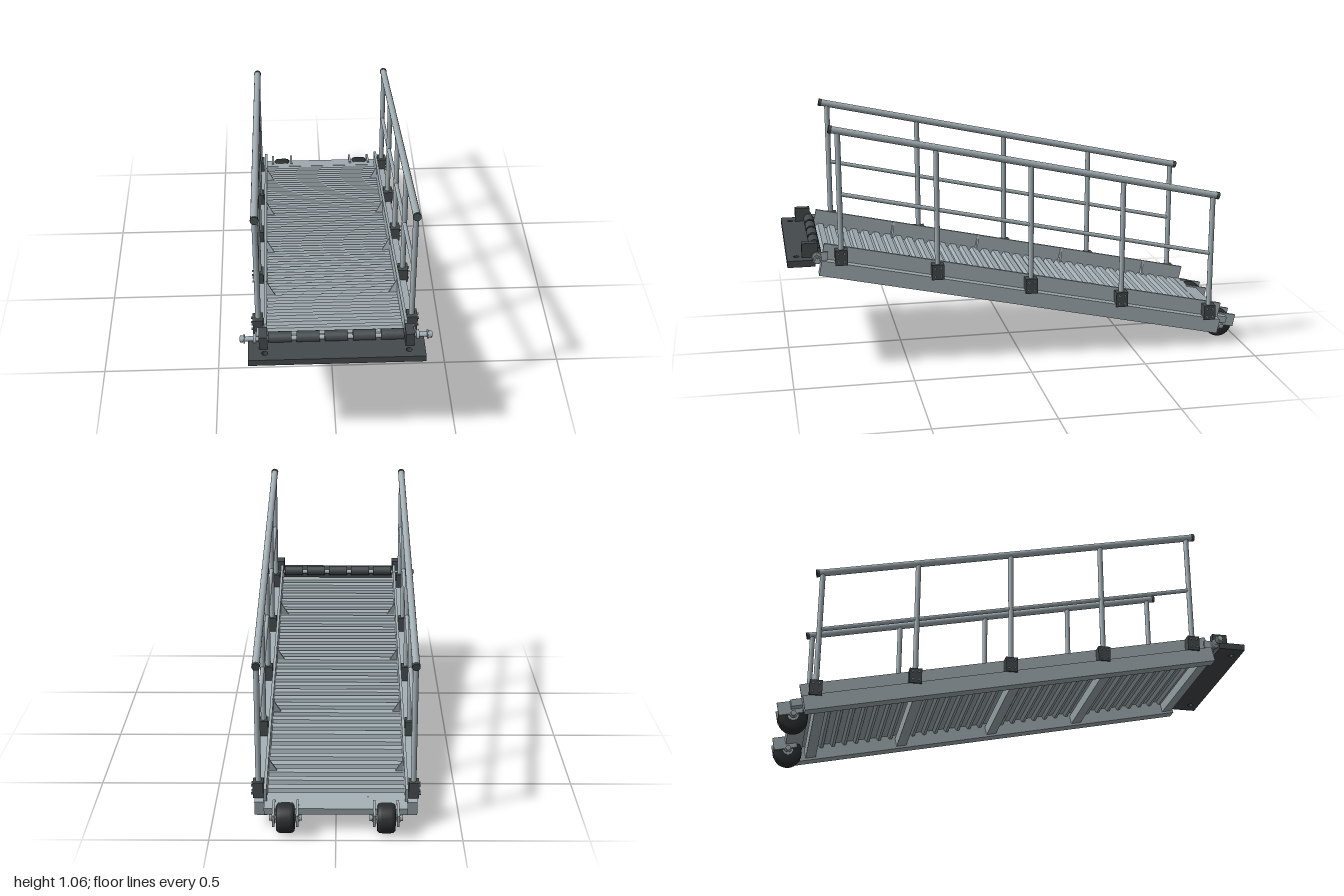
import * as THREE from 'three';

const steel = new THREE.MeshStandardMaterial({ color: 0xa3afb4 });
const dark = new THREE.MeshStandardMaterial({ color: 0x444a4c });
const rubber = new THREE.MeshStandardMaterial({ color: 0x2b2e2f });

const SLOPE = 0.212, MID_Z = -0.02, MID_Y = 0.303;
const slopeY = (z, y0) => y0 + Math.tan(SLOPE) * z;

function add(parent, name, geometry, material, x = 0, y = 0, z = 0) {
  const mesh = new THREE.Mesh(geometry, material);
  mesh.name = name;
  mesh.position.set(x, y, z);
  parent.add(mesh);
  return mesh;
}
const box = (parent, name, mat, w, h, d, x, y, z) =>
  add(parent, name, new THREE.BoxGeometry(w, h, d), mat, x, y, z);

// Cylinder lying along x
const rod = (parent, name, mat, r, len, x, y, z, sides = 20) =>
  add(parent, name, new THREE.CylinderGeometry(r, r, len, sides).rotateZ(Math.PI / 2), mat, x, y, z);

// Cylinder between two points
function bar(parent, name, mat, r, a, b) {
  const dir = b.clone().sub(a);
  const mesh = add(parent, name, new THREE.CylinderGeometry(r, r, dir.length(), 16), mat);
  mesh.position.copy(a).add(b).multiplyScalar(0.5);
  mesh.quaternion.setFromUnitVectors(new THREE.Vector3(0, 1, 0), dir.normalize());
  return mesh;
}

// Corrugated deck sheet: trapezoid ridges running across the ramp
function deckGeometry(from, to, count, width) {
  const pitch = (to - from) / count, top = [];
  for (let i = 0; i < count; i++) {
    const s = from + i * pitch;
    top.push([s, -0.012], [s + pitch * 0.22, -0.012], [s + pitch * 0.36, 0.004], [s + pitch * 0.86, 0.004]);
  }
  top.push([to, -0.012]);
  const bottom = top.map(([s, n]) => [s, n - 0.005]).reverse();
  const shape = new THREE.Shape([...top, ...bottom].map(([s, n]) => new THREE.Vector2(s, n)));
  return new THREE.ExtrudeGeometry(shape, { depth: width, bevelEnabled: false })
    .translate(0, 0, -width / 2).rotateY(-Math.PI / 2);
}

function buildRamp() {
  const ramp = new THREE.Group();
  ramp.name = 'rampFrame';
  ramp.position.set(0, MID_Y, MID_Z);
  ramp.rotation.x = -SLOPE;

  add(ramp, 'corrugatedDeck', deckGeometry(-0.885, 0.885, 34, 0.552), steel);
  for (const s of [0.865, 0.41, 0, -0.42, -0.83])
    box(ramp, 'crossBeam', steel, 0.552, 0.038, 0.045, 0, -0.036, s);
  box(ramp, 'rearPlate', steel, 0.57, 0.03, 0.075, 0, -0.01, -0.905);

  for (const side of [-1, 1]) {
    box(ramp, 'sideBeam', steel, 0.05, 0.065, 1.793, side * 0.3, -0.0325, 0);
    box(ramp, 'toePlate', steel, 0.012, 0.065, 1.793, side * 0.281, 0.0325, 0);
    // Triangular braces between deck and toe plate
    const tri = new THREE.Shape([new THREE.Vector2(0.278, 0), new THREE.Vector2(0.278, 0.068), new THREE.Vector2(0.24, 0)]);
    for (const s of [0.53, 0.125, -0.285, -0.7]) {
      const brace = add(ramp, 'toeBrace',
        new THREE.ExtrudeGeometry(tri, { depth: 0.008, bevelEnabled: false }), steel, 0, 0, s);
      if (side < 0) {
        brace.rotation.y = Math.PI;
        brace.position.z += 0.008;
      }
    }
    // Caster fork plates
    for (const x of [0.152, 0.246])
      box(ramp, 'wheelBracket', steel, 0.01, 0.055, 0.1, side * x, -0.016, -0.945);
  }
  return ramp;
}

function buildRailing(side) {
  const rail = new THREE.Group();
  rail.name = side > 0 ? 'leftRailing' : 'rightRailing';
  const x = side * 0.31;
  const at = (z, y0) => new THREE.Vector3(x, slopeY(z, y0), z);

  bar(rail, 'handrail', steel, 0.015, at(0.805, 0.87), at(-0.865, 0.87));
  bar(rail, 'handrailFrontCap', dark, 0.0165, at(0.799, 0.87), at(0.812, 0.87));
  bar(rail, 'handrailRearCap', dark, 0.0165, at(-0.859, 0.87), at(-0.872, 0.87));
  bar(rail, 'midRail', steel, 0.009, at(0.775, 0.604), at(-0.845, 0.604));

  for (let i = 0; i < 5; i++) {
    const z = 0.775 - 0.405 * i, footY = slopeY(z, 0.334);
    bar(rail, 'post', steel, 0.0115, new THREE.Vector3(x, footY - 0.025, z), at(z, 0.865));
    box(rail, 'postBracket', dark, 0.042, 0.066, 0.052, side * 0.311, footY, z);
    for (const dy of [-0.018, 0.018])
      for (const dz of [-0.013, 0.013])
        rod(rail, 'bracketBolt', steel, 0.0045, 0.008, side * 0.335, footY + dy, z + dz, 6);
  }
  return rail;
}

function buildWheel(side) {
  const wheel = new THREE.Group();
  wheel.name = side > 0 ? 'leftWheel' : 'rightWheel';
  wheel.position.set(side * 0.2, 0.061, -0.925);
  const profile = [[0.02, -0.036], [0.052, -0.036], [0.059, -0.029], [0.061, -0.018],
    [0.061, 0.018], [0.059, 0.029], [0.052, 0.036], [0.02, 0.036]].map(p => new THREE.Vector2(...p));
  add(wheel, 'tyre', new THREE.LatheGeometry(profile, 32).rotateZ(Math.PI / 2), rubber);
  rod(wheel, 'hub', steel, 0.022, 0.078, 0, 0, 0);
  rod(wheel, 'axle', steel, 0.008, 0.13, 0, 0, 0);
  for (const e of [-1, 1]) {
    rod(wheel, 'axleWasher', steel, 0.016, 0.005, e * 0.053, 0, 0);
    rod(wheel, 'axleNut', steel, 0.012, 0.01, e * 0.061, 0, 0, 6);
  }
  return wheel;
}

function buildHinge() {
  const hinge = new THREE.Group();
  hinge.name = 'dockHinge';

  // Landing plate with two bolt holes
  const plate = new THREE.Shape([[-0.35, 0.885], [0.35, 0.885], [0.35, 1], [-0.35, 1]]
    .map(p => new THREE.Vector2(...p)));
  for (const x of [-0.285, 0.285])
    plate.holes.push(new THREE.Path().absarc(x, 0.96, 0.012, 0, Math.PI * 2, true));
  add(hinge, 'landingPlate',
    new THREE.ExtrudeGeometry(plate, { depth: 0.028, bevelEnabled: false }).rotateX(Math.PI / 2), dark, 0, 0.505, 0);

  // Knuckles on a through pin
  for (let i = -2; i <= 2; i++)
    rod(hinge, 'hingeKnuckle', dark, 0.023, 0.092, i * 0.112, 0.515, 0.878, 24);
  rod(hinge, 'hingePin', steel, 0.01, 0.77, 0, 0.51, 0.878);
  for (const side of [-1, 1]) {
    box(hinge, 'hingeEar', dark, 0.034, 0.062, 0.066, side * 0.29, 0.534, 0.905);
    rod(hinge, 'pinCollar', steel, 0.02, 0.012, side * 0.325, 0.51, 0.878);
    rod(hinge, 'pinWasher', steel, 0.018, 0.006, side * 0.366, 0.51, 0.878);
    rod(hinge, 'pinNut', steel, 0.014, 0.012, side * 0.376, 0.51, 0.878, 6);
    // Lug joining the pin to the side beam
    box(hinge, 'hingeLug', steel, 0.012, 0.034, 0.05, side * 0.31, 0.508, 0.855);
  }
  return hinge;
}

export function createModel() {
  const model = new THREE.Group();
  model.name = 'gangwayRamp';
  model.add(buildRamp(), buildHinge());
  for (const side of [-1, 1]) model.add(buildRailing(side), buildWheel(side));
  return model;
}
